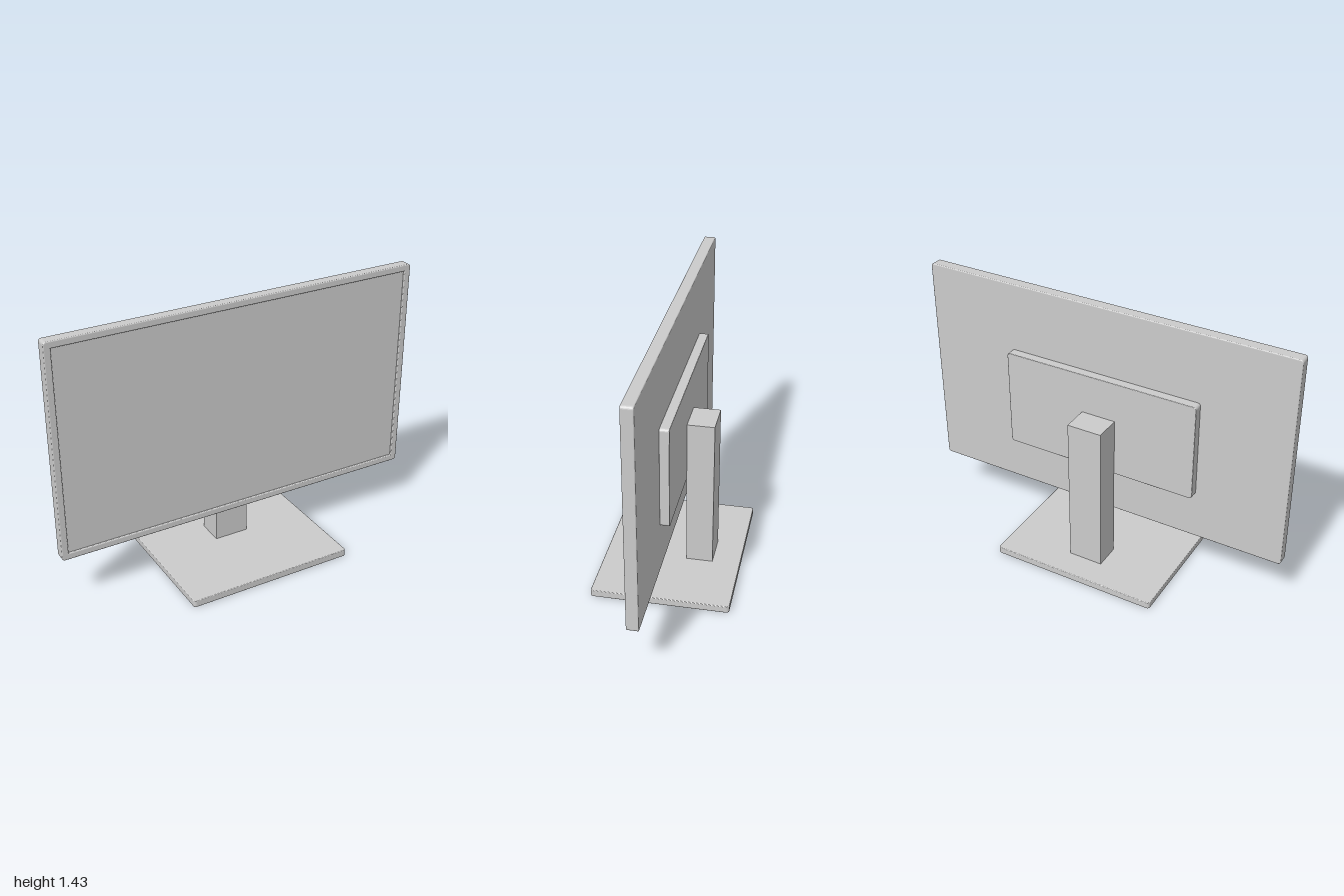
import * as THREE from 'three';

const grey = new THREE.MeshStandardMaterial({ color: 0xcccccc });

// Traces a rectangle with rounded corners onto a shape or path
function roundedRect(path, w, h, r) {
  const x = w / 2, y = h / 2;
  path.moveTo(-x + r, -y);
  path.lineTo(x - r, -y);
  path.absarc(x - r, -y + r, r, -Math.PI / 2, 0);
  path.lineTo(x, y - r);
  path.absarc(x - r, y - r, r, 0, Math.PI / 2);
  path.lineTo(-x + r, y);
  path.absarc(-x + r, y - r, r, Math.PI / 2, Math.PI);
  path.lineTo(-x, -y + r);
  path.absarc(-x + r, -y + r, r, Math.PI, Math.PI * 1.5);
  return path;
}

// Slab centred on the origin with softened edges, thickness along z
function slab(w, h, thickness, bevel, hole) {
  const shape = roundedRect(new THREE.Shape(), w, h, 0.015);
  if (hole) {
    const [x, y] = [hole[0] / 2, hole[1] / 2];
    const path = new THREE.Path();
    path.moveTo(-x, -y).lineTo(-x, y).lineTo(x, y).lineTo(x, -y).closePath();
    shape.holes.push(path);
  }
  const geometry = new THREE.ExtrudeGeometry(shape, {
    depth: thickness - 2 * bevel, curveSegments: 5,
    bevelEnabled: true, bevelThickness: bevel, bevelSize: bevel,
    bevelOffset: -bevel, bevelSegments: 3,
  });
  return geometry.translate(0, 0, bevel - thickness / 2);
}

export function createModel() {
  const group = new THREE.Group();
  const add = (name, geometry, x, y, z) => {
    const mesh = new THREE.Mesh(geometry, grey);
    mesh.name = name;
    mesh.position.set(x, y, z);
    group.add(mesh);
    return mesh;
  };

  // Display: outer casing with a slightly recessed screen filling its opening
  add('displayFrame', slab(2, 1.155, 0.06, 0.005, [1.93, 1.085]), 0, 0.8525, 0.006);
  add('screenPanel', new THREE.BoxGeometry(1.94, 1.095, 0.05), 0, 0.8525, 0.001);

  // Housing on the back of the display
  add('rearHousing', slab(1.055, 0.53, 0.049, 0.003), 0, 0.8, -0.0475);

  // Stand column and foot plate
  add('standColumn', new THREE.BoxGeometry(0.185, 0.815, 0.14), 0, 0.4425, -0.142);
  add('standBase', slab(0.906, 0.714, 0.038, 0.004), 0, 0.019, 0).rotation.x = -Math.PI / 2;

  return group;
}
